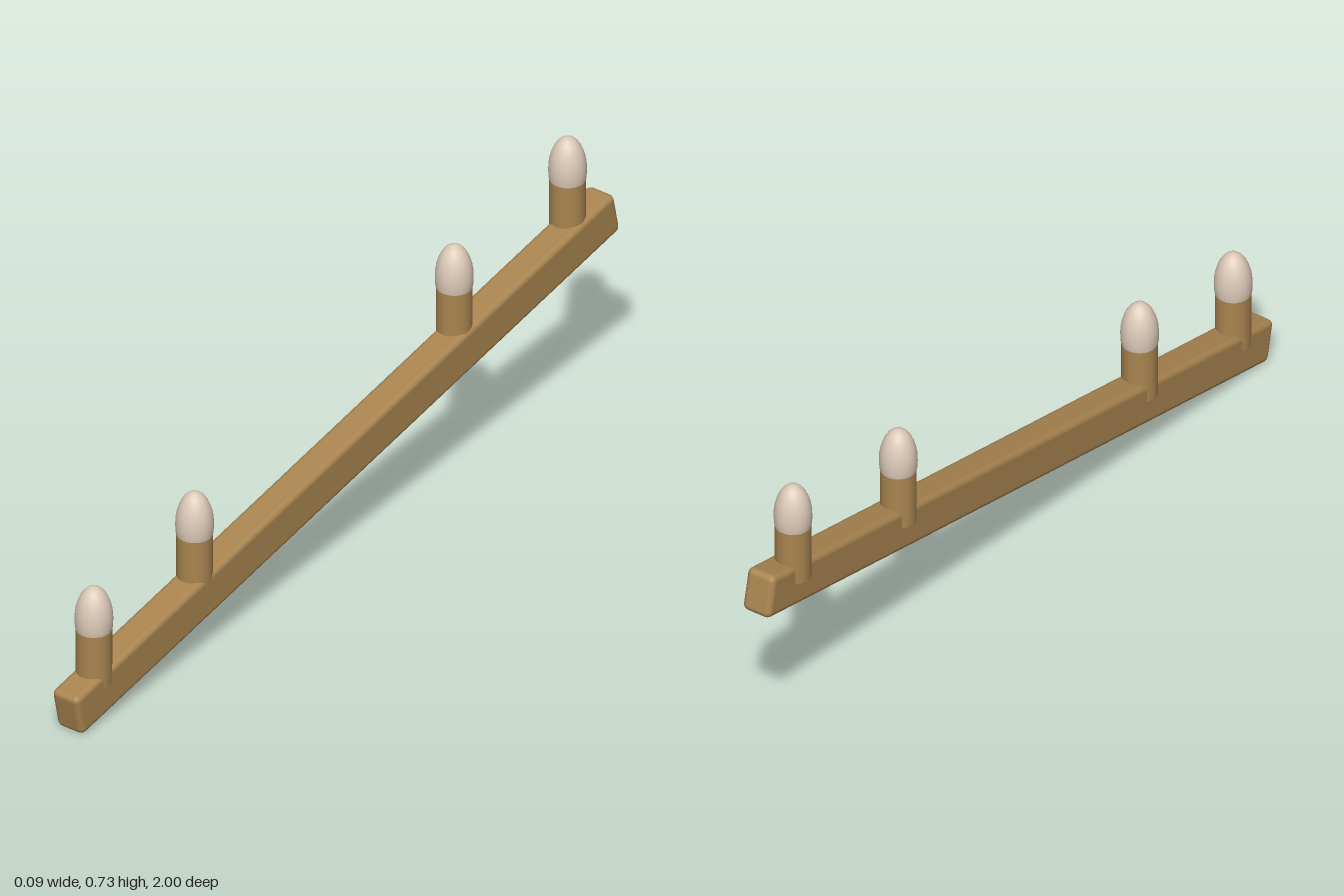
import * as THREE from 'three';
import { RoundedBoxGeometry } from 'three/addons/geometries/RoundedBoxGeometry.js';

export function createModel() {
  const model = new THREE.Group();
  model.name = 'slopedPegRail';

  const wood = new THREE.MeshStandardMaterial({ color: 0xa98550 });
  wood.name = 'wood';
  const cream = new THREE.MeshStandardMaterial({ color: 0xddcab8 });
  cream.name = 'cream';

  // Sloped beam with eased edges, rising towards the back
  const beam = new THREE.Mesh(new RoundedBoxGeometry(0.078, 0.109, 2.03, 2, 0.015), wood);
  beam.name = 'beam';
  beam.rotation.set(0.218, -0.0055, 0, 'YXZ');
  beam.position.set(0.0025, 0.271, 0);
  model.add(beam);

  // Upright pegs sunk into the beam, each with an egg-shaped cap
  const postGeometry = new THREE.CylinderGeometry(0.0425, 0.0425, 0.164, 24);
  const capGeometry = new THREE.SphereGeometry(0.045, 24, 16).scale(1, 0.086 / 0.045, 1);
  const pegs = [[0.89, 0.345], [0.517, 0.425], [-0.445, 0.639], [-0.865, 0.731]]; // z, tip height

  pegs.forEach(([z, tip], i) => {
    const peg = new THREE.Group();
    peg.name = `peg${i + 1}`;
    peg.position.set(-0.003, tip, z);

    const post = new THREE.Mesh(postGeometry, wood);
    post.name = 'post';
    post.position.y = -0.172;

    const cap = new THREE.Mesh(capGeometry, cream);
    cap.name = 'cap';
    cap.position.y = -0.086;

    peg.add(post, cap);
    model.add(peg);
  });

  return model;
}
